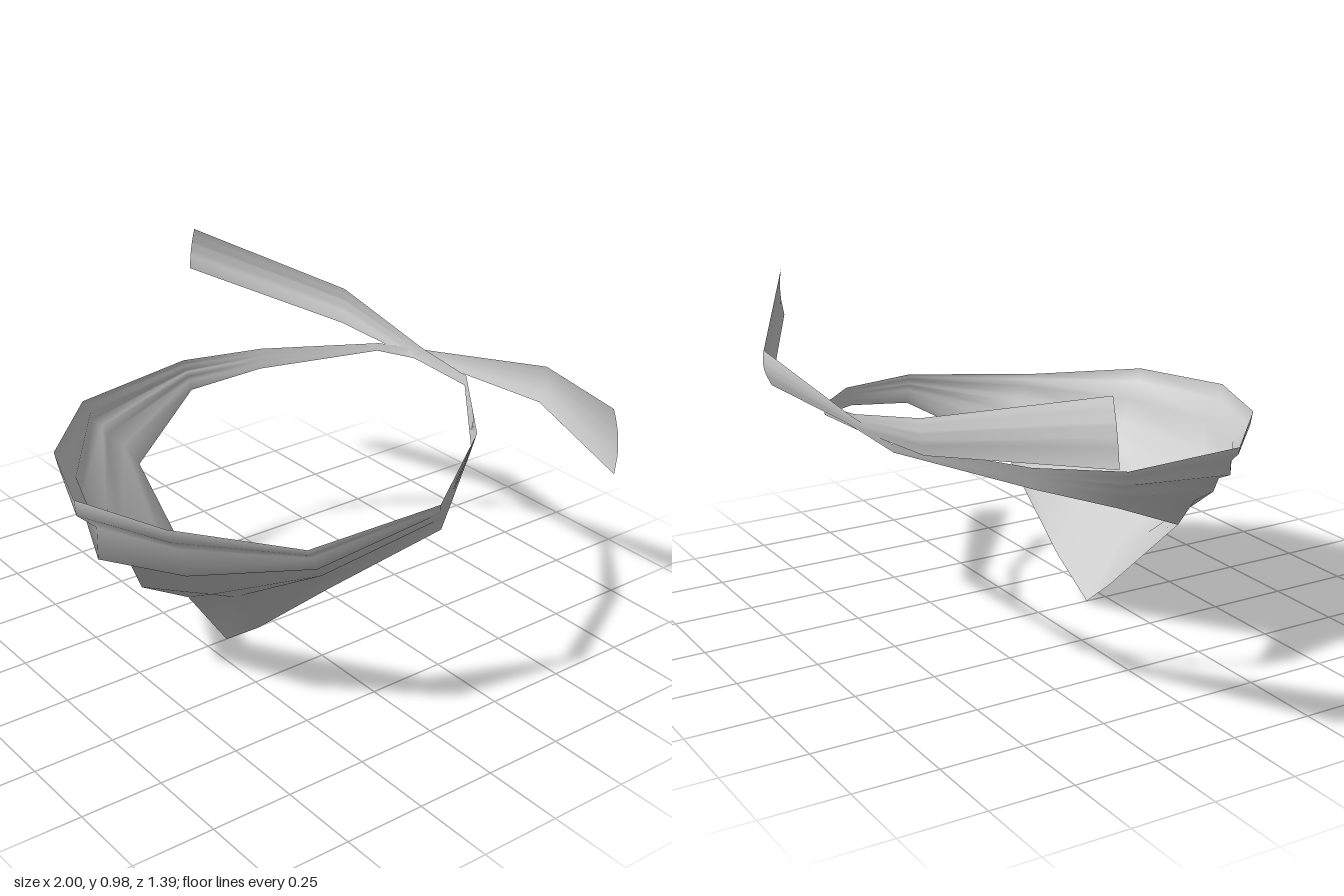
import * as THREE from 'three';

// Drop of each cloth row (0 = rim, 1 = hem) and how far its fold stands out
const drop = [0, 0.08, 0.17, 0.33, 0.39, 0.55, 0.69, 1];
const fold = [0, 0.035, 0.018, 0.1, 0.03, 0.07, -0.02, 0];

// Columns run along the cloth from one tail tip to the other:
// rim point, hem point, fold strength, bow
const rightTail = [
  { rim: [0.96, 0.97, -0.405], hem: [1.0, 0.8, -0.385], bow: 0.012 },
  { rim: [0.43, 0.84, -0.695], hem: [0.43, 0.73, -0.675], bow: 0.012 },
  { rim: [-0.02, 0.755, -0.645], hem: [-0.02, 0.72, -0.64] },
  { rim: [-0.25, 0.715, -0.615], hem: [-0.25, 0.69, -0.61] },
];
const collar = [
  { rim: [-0.52, 0.675, -0.335], hem: [-0.51, 0.61, -0.325] },
  { rim: [-0.63, 0.655, -0.1], hem: [-0.615, 0.55, -0.12] },
  { rim: [-0.57, 0.64, 0.32], hem: [-0.49, 0.41, 0.17], fold: 0.35 },
  { rim: [-0.3, 0.64, 0.58], hem: [-0.15, 0.11, 0.165], fold: 0.75 },
  { rim: [0, 0.64, 0.69], hem: [0, 0, 0.18], fold: 1 },
  { rim: [0.3, 0.64, 0.58], hem: [0.15, 0.11, 0.165], fold: 0.75 },
  { rim: [0.56, 0.6, 0.3], hem: [0.47, 0.39, 0.15], fold: 0.35 },
  { rim: [0.63, 0.64, -0.11], hem: [0.615, 0.55, -0.13] },
  { rim: [0.42, 0.69, -0.435], hem: [0.41, 0.635, -0.425] },
];
const leftTail = [
  { rim: [0.15, 0.73, -0.635], hem: [0.15, 0.7, -0.63] },
  { rim: [-0.06, 0.755, -0.635], hem: [-0.06, 0.71, -0.63] },
  { rim: [-0.45, 0.84, -0.63], hem: [-0.43, 0.73, -0.61], bow: 0.012 },
  { rim: [-0.93, 0.975, -0.355], hem: [-1.0, 0.81, -0.38], bow: 0.012 },
];

// Smooth sheet lofted through the columns
function sheet(name, columns) {
  const positions = [];
  const index = [];
  const rows = drop.length;
  for (const c of columns) {
    const rim = new THREE.Vector3(...c.rim);
    const hem = new THREE.Vector3(...c.hem);
    const out = new THREE.Vector3(rim.x, 0, rim.z).normalize();
    drop.forEach((t, j) => {
      const push = fold[j] * (c.fold || 0) + 4 * t * (1 - t) * (c.bow || 0);
      const p = rim.clone().lerp(hem, t).addScaledVector(out, push);
      positions.push(p.x, p.y, p.z);
    });
  }
  for (let i = 0; i < columns.length - 1; i++) {
    for (let j = 0; j < rows - 1; j++) {
      const a = i * rows + j;
      const b = a + rows;
      index.push(a, a + 1, b, b, a + 1, b + 1);
    }
  }
  const geometry = new THREE.BufferGeometry();
  geometry.setAttribute('position', new THREE.Float32BufferAttribute(positions, 3));
  geometry.setIndex(index);
  geometry.computeVertexNormals();
  const material = new THREE.MeshStandardMaterial({ color: 0xcccccc, side: THREE.DoubleSide });
  const mesh = new THREE.Mesh(geometry, material);
  mesh.name = name;
  return mesh;
}

export function createModel() {
  const group = new THREE.Group();
  group.name = 'neckerchief';
  // One continuous cloth: tails cross behind the neck, triangle hangs in front
  group.add(sheet('knottedCloth', [...rightTail, ...collar, ...leftTail]));
  return group;
}
